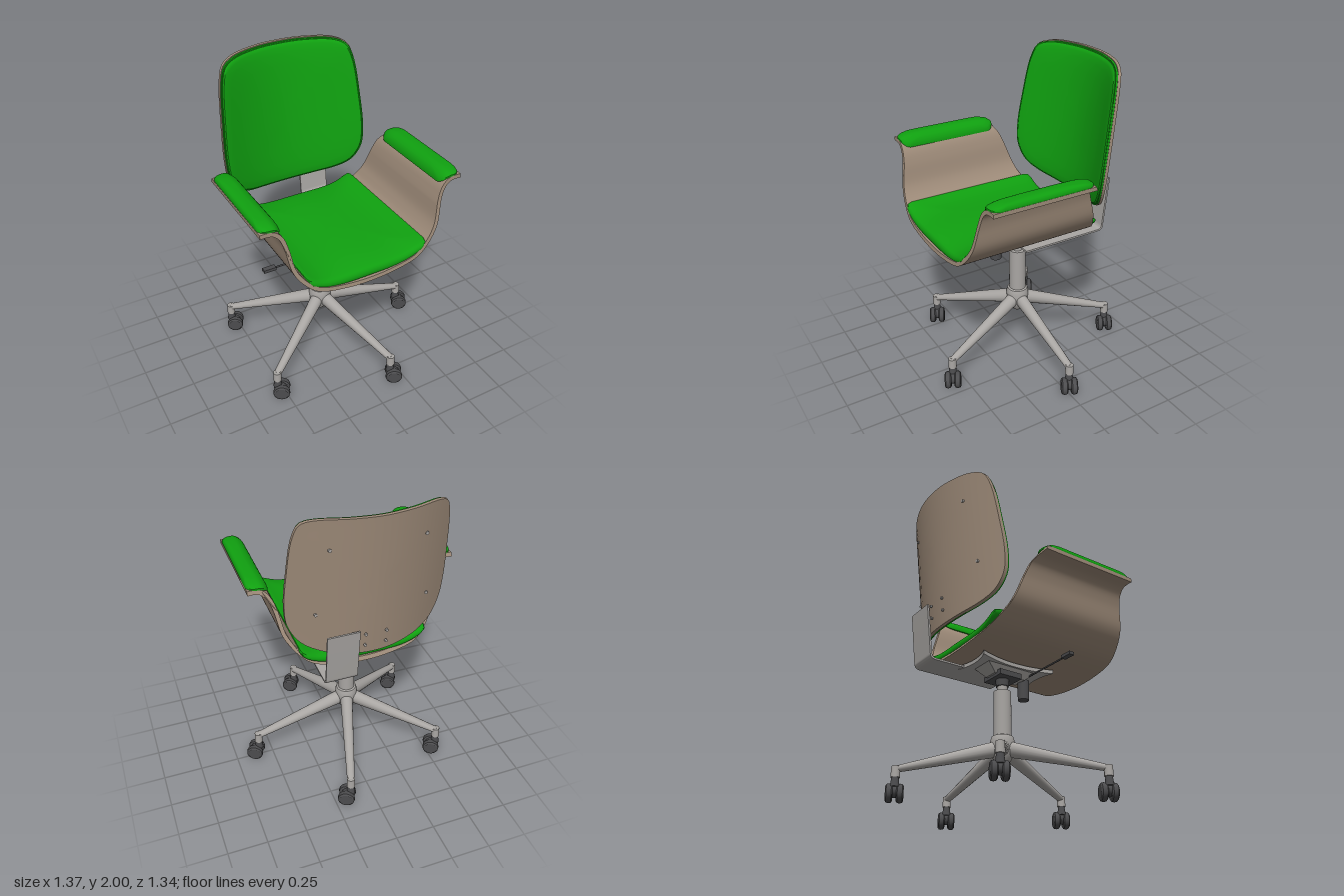
import * as THREE from 'three';
import { toCreasedNormals } from 'three/addons/utils/BufferGeometryUtils.js';

const mat = (name, color) => new THREE.MeshStandardMaterial({ name, color });
const V2 = (x, y) => new THREE.Vector2(x, y);
const lerp = THREE.MathUtils.lerp;

// Moves every vertex of a geometry by a rule, then rebuilds the normals
function warp(geo, rule, crease = 0.6) {
  const p = geo.attributes.position;
  for (let i = 0; i < p.count; i++) p.setXYZ(i, ...rule(p.getX(i), p.getY(i), p.getZ(i)));
  return toCreasedNormals(geo, crease);
}

// Padded disc: rings of [scale, height] around a closed outline, put in space by place(u, v, h)
function pad(outline, rings, place, crease = 0.6) {
  const lathe = new THREE.LatheGeometry(rings.map(([s, h]) => V2(s, h)), 112);
  return warp(lathe, (x, h, z) => {
    const s = Math.hypot(x, z);
    const t = (Math.atan2(x, z) / (2 * Math.PI) + 1) % 1;
    const o = outline.getPointAt(t);
    return place(o.x * s, o.y * s, h);
  }, crease);
}

// Rounded rectangle that starts at the bottom middle and runs anticlockwise
function roundRect(a, b, r) {
  const s = new THREE.Shape();
  s.moveTo(0, -b).lineTo(a - r, -b);
  s.absarc(a - r, -b + r, r, -Math.PI / 2, 0);
  s.absarc(a - r, b - r, r, 0, Math.PI / 2);
  s.absarc(-a + r, b - r, r, Math.PI / 2, Math.PI);
  s.absarc(-a + r, -b + r, r, Math.PI, Math.PI * 1.5);
  s.lineTo(0, -b);
  return s;
}

// Linear look-up in a short table of [key, value]
function lookup(table, k) {
  for (let i = 1; i < table.length; i++) {
    const [k0, v0] = table[i - 1], [k1, v1] = table[i];
    if (k <= k1 || i === table.length - 1) {
      return lerp(v0, v1, THREE.MathUtils.clamp((k - k0) / (k1 - k0), 0, 1));
    }
  }
}

export function createModel() {
  const green = mat('green upholstery', 0x10a010);
  const wood = mat('tan veneer', 0x9f8c7a);
  const metal = mat('grey metal', 0xa9a6a3);
  const dark = mat('dark plastic', 0x4c4c4e);

  const model = new THREE.Group();
  const add = (parent, name, geo, material, x = 0, y = 0, z = 0) => {
    const m = new THREE.Mesh(geo, material);
    m.name = name;
    m.position.set(x, y, z);
    parent.add(m);
    return m;
  };
  const cyl = (r0, r1, h, n = 24) => new THREE.CylinderGeometry(r0, r1, h, n);

  const chair = new THREE.Group();
  chair.name = 'chair';
  chair.position.x = -0.035;
  model.add(chair);

  // Bent seat shell with arms: a thick ribbon whose front and back edges depend on height
  const half = [[0.655, 1.408], [0.605, 1.408], [0.565, 1.395], [0.53, 1.355], [0.505, 1.28],
    [0.475, 1.14], [0.41, 1.04], [0.32, 0.972], [0.165, 0.94]];
  const ribbon = new THREE.SplineCurve([
    ...half.map(([x, y]) => V2(-x, y)), V2(0, 0.93), ...half.map(([x, y]) => V2(x, y)).reverse()]);
  const lower = [], upper = [];
  for (let i = 0; i <= 96; i++) {
    const p = ribbon.getPointAt(i / 96), t = ribbon.getTangentAt(i / 96);
    lower.push(V2(p.x + t.y * 0.0125, p.y - t.x * 0.0125));
    upper.push(V2(p.x - t.y * 0.0125, p.y + t.x * 0.0125));
  }
  const shellShape = new THREE.Shape([...lower, ...upper.reverse()]);
  const backEdge = [[0.917, -0.368], [0.96, -0.345], [1.08, -0.275], [1.28, -0.205], [1.36, -0.175], [1.41, -0.14]];
  const frontEdge = [[0.917, 0.6], [1.1, 0.57], [1.3, 0.535], [1.41, 0.525]];
  add(chair, 'seatShell', warp(
    new THREE.ExtrudeGeometry(shellShape, { depth: 1, bevelEnabled: false }),
    (x, y, z) => [x, y, lerp(lookup(backEdge, y), lookup(frontEdge, y), z)]), wood);

  // Seat cushion, lying in the curve of the shell
  const seatRings = [[0, 0], [0.3, 0], [0.6, 0], [0.8, 0], [0.97, 0], [0.99, 0.008], [1, 0.02], [1, 0.035],
    [0.99, 0.05], [0.97, 0.06], [0.92, 0.068], [0.84, 0.076], [0.72, 0.085], [0.55, 0.092], [0.3, 0.097], [0, 0.1]];
  add(chair, 'seatCushion', pad(roundRect(0.405, 0.47, 0.03), seatRings, (u, v, h) => {
    const e = Math.abs(u) / 0.405;
    return [u, 0.94 + 0.088 * e ** 4 + h * (1 - 0.35 * e * e), 0.117 - v];
  }), green);

  // Arm pads, drooping over the inner edge of each arm
  const armRings = [[0, 0], [0.5, 0], [0.9, 0], [1, 0.01], [1, 0.022], [0.95, 0.034],
    [0.85, 0.043], [0.7, 0.048], [0.4, 0.05], [0, 0.05]];
  for (const side of [-1, 1]) {
    add(chair, side > 0 ? 'leftArmPad' : 'rightArmPad',
      pad(roundRect(0.067, 0.335, 0.055), armRings, (u, v, h) => {
        const droop = Math.max(0, -side * u / 0.067);
        return [side * 0.587 + u, 1.408 + h - 0.038 * droop * droop, 0.19 - v];
      }, 0.8), green);
  }

  // Curved backrest: veneer panel, welt and cushion share one outline
  const backHalf = [[0.17, 1.075], [0.325, 1.106], [0.42, 1.16], [0.48, 1.265], [0.495, 1.4],
    [0.485, 1.61], [0.455, 1.875], [0.42, 1.96], [0.35, 1.99], [0.17, 2.0]];
  const backMid = 1.53;
  const backLine = new THREE.CatmullRomCurve3([
    [0, 1.065], ...backHalf, [0, 2.0], ...backHalf.map(([x, y]) => [-x, y]).reverse(),
  ].map(([x, y]) => new THREE.Vector3(x, y - backMid, 0)), true);
  const backZ = (x, y) => lerp(-0.475, -0.583, (y - 1.06) / 0.94) + 0.7 * x * x;
  const placeBack = (u, v, h) => [u, v + backMid, backZ(u, v + backMid) + h];
  const inner = [0, 0.2, 0.4, 0.6, 0.75, 0.88];
  const slab = (s, h0, h1) => [...inner.map(k => [k * s, h0]), [s, h0], [s, h1],
    ...inner.map(k => [k * s, h1]).reverse()];
  add(chair, 'backPanel', pad(backLine, slab(1, 0, 0.022), placeBack), wood);
  add(chair, 'backWelt', pad(backLine, slab(0.99, 0.02, 0.036), placeBack), green);
  add(chair, 'backCushion', pad(backLine, [[0, 0.03], [0.5, 0.03], [0.975, 0.03], [0.975, 0.04], [0.96, 0.049],
    [0.93, 0.054], [0.85, 0.06], [0.7, 0.064], [0.5, 0.066], [0.25, 0.067], [0, 0.067]], placeBack), green);

  // Screws in the back panel
  for (const [x, y] of [[0.28, 1.81], [0.34, 1.37]]) {
    for (const s of [-1, 1]) {
      add(chair, 'panelScrew', cyl(0.01, 0.01, 0.012, 12), metal, s * x, y, backZ(x, y) - 0.002).rotation.x = Math.PI / 2;
    }
  }

  // Bent flat bar that carries the backrest
  const bar = new THREE.Shape();
  bar.moveTo(-0.1, 0.888).lineTo(0.44, 0.888).quadraticCurveTo(0.478, 0.888, 0.481, 0.925);
  bar.lineTo(0.516, 1.25).lineTo(0.504, 1.25).lineTo(0.469, 0.93);
  bar.quadraticCurveTo(0.466, 0.9, 0.44, 0.9).lineTo(-0.1, 0.9);
  const barGeo = new THREE.ExtrudeGeometry(bar, { depth: 0.2, bevelEnabled: false });
  add(chair, 'backBar', toCreasedNormals(barGeo, 0.6), metal, 0.1).rotation.y = Math.PI / 2;
  for (const [x, y] of [[0.065, 1.22], [-0.065, 1.22], [0.065, 1.14], [-0.065, 1.14]]) {
    add(chair, 'barScrew', cyl(0.009, 0.009, 0.012, 12), metal, x, y, -0.513 + (1.25 - y) * 0.108).rotation.x = Math.PI / 2;
  }

  // Mounting plate under the seat, with hollow sides, and its tapered housing
  const plate = new THREE.Shape();
  plate.moveTo(-0.145, -0.25).quadraticCurveTo(0, -0.19, 0.145, -0.25);
  plate.quadraticCurveTo(0.04, 0.02, 0.145, 0.28).quadraticCurveTo(0, 0.22, -0.145, 0.28);
  plate.quadraticCurveTo(-0.04, 0.02, -0.145, -0.25);
  const plateGeo = new THREE.ExtrudeGeometry(plate, { depth: 0.025, bevelEnabled: false });
  add(chair, 'mountingPlate', plateGeo, metal, 0, 0.91, 0).rotation.x = Math.PI / 2;
  const housing = cyl(Math.SQRT1_2, 0.42, 0.06, 4).rotateY(Math.PI / 4).scale(0.17, 1, 0.38);
  add(chair, 'housing', toCreasedNormals(housing, 0.3), metal, 0, 0.864, 0.01);
  add(chair, 'mechanismBox', new THREE.BoxGeometry(0.18, 0.035, 0.16), dark, 0, 0.833, -0.01);
  add(chair, 'tensionKnob', cyl(0.038, 0.036, 0.13), dark, 0, 0.785, 0.15);

  // Height lever on the right
  add(chair, 'leverRod', cyl(0.006, 0.006, 0.37, 10), dark, -0.245, 0.864, 0.15).rotation.z = Math.PI / 2;
  add(chair, 'leverGrip', new THREE.BoxGeometry(0.08, 0.02, 0.035), dark, -0.445, 0.866, 0.15);

  // Gas column and hub
  const base = new THREE.Group();
  base.name = 'base';
  base.position.set(-0.04, 0, -0.017);
  model.add(base);
  add(base, 'columnCollar', cyl(0.043, 0.04, 0.05), dark, 0, 0.795, 0);
  add(base, 'columnPiston', cyl(0.032, 0.032, 0.06), metal, 0, 0.755, 0);
  add(base, 'column', cyl(0.055, 0.055, 0.32, 32), metal, 0, 0.575, 0);
  const hub = [[0, 0.275], [0.035, 0.275], [0.055, 0.3], [0.072, 0.34], [0.074, 0.415], [0.066, 0.44], [0.05, 0.448]];
  add(base, 'hub', toCreasedNormals(new THREE.LatheGeometry(hub.map(p => V2(...p)), 32), 0.6), metal);

  // Five tapered legs with twin-wheel casters that all trail the same way
  const legGeo = warp(cyl(1, 1, 1, 16), (x, y, z) => {
    const t = y + 0.5;
    return [lerp(0.03, 0.64, t), lerp(0.365, 0.187, t) - x * lerp(0.052, 0.02, t), z * -lerp(0.042, 0.024, t) * -1];
  });
  const wheelProfile = [[0, -0.021], [0.042, -0.021], [0.052, -0.014], [0.055, 0], [0.052, 0.014], [0.042, 0.021], [0, 0.021]];
  const wheelGeo = toCreasedNormals(new THREE.LatheGeometry(wheelProfile.map(p => V2(...p)), 28), 0.5).rotateX(Math.PI / 2);
  for (let i = 0; i < 5; i++) {
    const a = i * Math.PI * 2 / 5;
    const x = 0.635 * Math.cos(a), z = 0.635 * Math.sin(a);
    add(base, 'leg', legGeo, metal).rotation.y = -a;
    add(base, 'legFoot', cyl(0.025, 0.027, 0.065, 16), metal, x, 0.172, z);
    const caster = new THREE.Group();
    caster.name = 'caster';
    caster.position.set(x, 0, z);
    caster.rotation.y = -0.48;
    base.add(caster);
    add(caster, 'casterStem', cyl(0.02, 0.028, 0.06, 16), dark, 0, 0.115, 0);
    add(caster, 'casterBody', cyl(0.036, 0.036, 0.03, 20), dark, 0.02, 0.065, 0).rotation.x = Math.PI / 2;
    for (const s of [-1, 1]) add(caster, 'casterWheel', wheelGeo, dark, 0.025, 0.055, s * 0.031);
  }
  return model;
}
